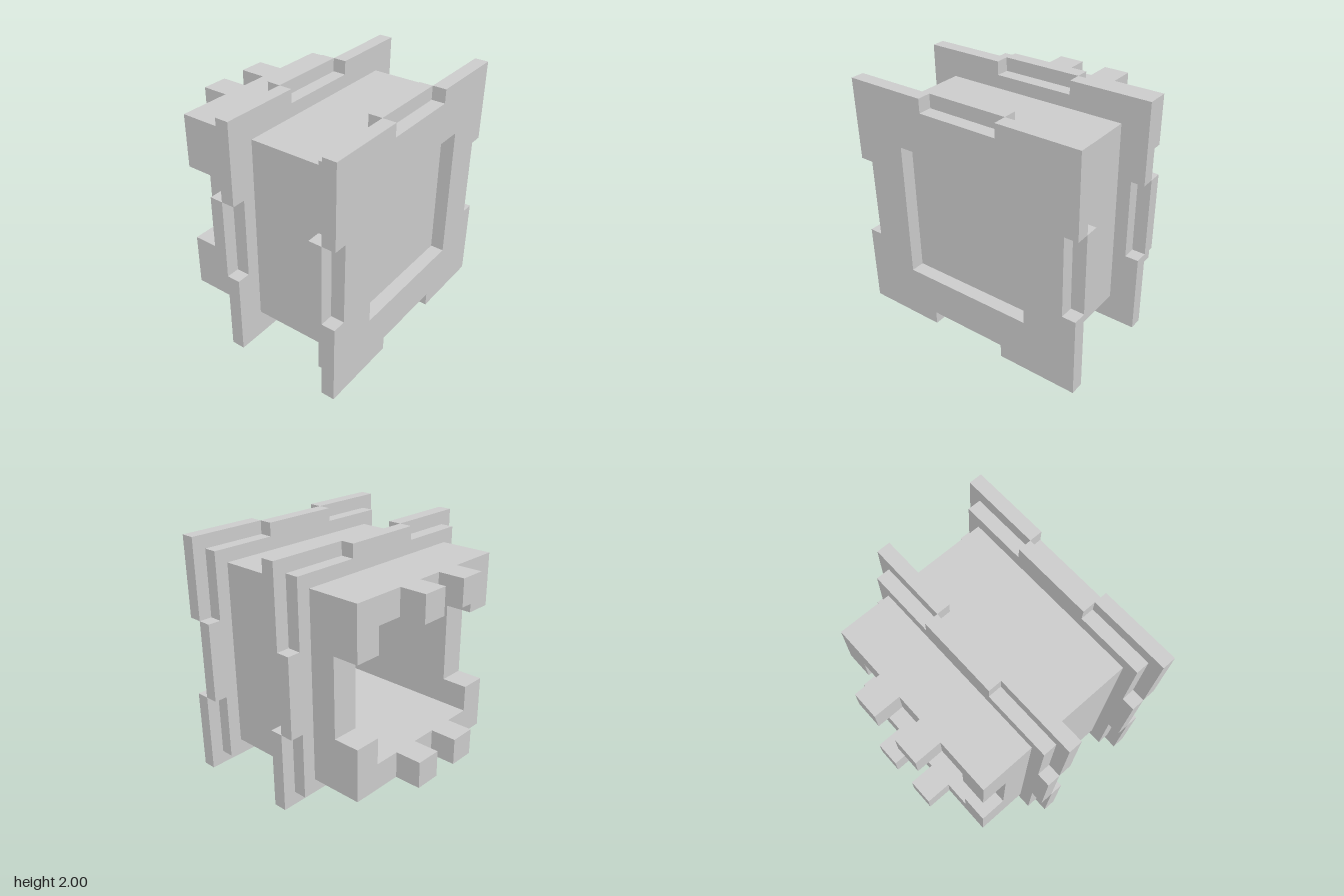
import * as THREE from 'three';

const U = 1 / 9; // grid module: the whole model is 18 modules wide
const material = new THREE.MeshStandardMaterial({ color: 0xcccccc, flatShading: true });

const toPath = (PathType, pts) => new PathType(pts.map(([x, y]) => new THREE.Vector2(x * U, y * U)));
const square = (h) => [[-h, -h], [h, -h], [h, h], [-h, h]];

// Extrudes an outline (in modules) from z0 to z1, with an optional square hole
function slab(name, pts, z0, z1, holeHalf) {
  const shape = toPath(THREE.Shape, pts);
  if (holeHalf) shape.holes.push(toPath(THREE.Path, square(holeHalf)));
  const geo = new THREE.ExtrudeGeometry(shape, { depth: (z1 - z0) * U, bevelEnabled: false });
  geo.translate(0, 1, z0 * U);
  const mesh = new THREE.Mesh(geo, material);
  mesh.name = name;
  return mesh;
}

// Square outline whose side middles step to a different distance than its corners
function steppedSquare(corner, middle) {
  const side = [[-corner, -corner], [-3, -corner], [-3, -middle], [3, -middle], [3, -corner]];
  const turns = [([x, y]) => [x, y], ([x, y]) => [-y, x], ([x, y]) => [-x, -y], ([x, y]) => [y, -x]];
  return turns.flatMap((turn) => side.map(turn));
}

// Flange of two layers: notched plate in front, tabbed plate behind
function flange(name, zFront, holeHalf) {
  const g = new THREE.Group();
  g.name = name;
  g.add(slab('notchedPlate', steppedSquare(9, 8), zFront - 1, zFront, holeHalf));
  g.add(slab('tabbedPlate', steppedSquare(8, 9), zFront - 2, zFront - 1, 7));
  return g;
}

export function createModel() {
  const model = new THREE.Group();
  model.name = 'flangedSocket';

  model.add(flange('frontFlange', 8, 5));
  model.add(flange('middleFlange', 0, 7));

  // Hollow square body
  model.add(slab('body', square(7), -4, 7, 5));

  // Thin panel closing the body behind the front recess
  const panelMaterial = material.clone();
  panelMaterial.side = THREE.DoubleSide;
  const panel = new THREE.Mesh(new THREE.PlaneGeometry(10 * U, 10 * U), panelMaterial);
  panel.name = 'frontPanel';
  panel.position.set(0, 1, 7 * U);
  model.add(panel);

  // Upper and lower rims at the open back, each with two teeth
  for (const s of [1, -1]) {
    const rim = [[-7, 3], [-5, 3], [-5, 5], [5, 5], [5, 3], [7, 3], [7, 7], [-7, 7]];
    model.add(slab(s > 0 ? 'upperRim' : 'lowerRim', rim.map(([x, y]) => [x, y * s]), -6, -4));
    for (const x of [-2, 2]) {
      const tooth = new THREE.Mesh(new THREE.BoxGeometry(2 * U, 2 * U, 2 * U), material);
      tooth.name = 'tooth';
      tooth.position.set(x * U, 1 + s * 6 * U, -7 * U);
      model.add(tooth);
    }
  }
  return model;
}
